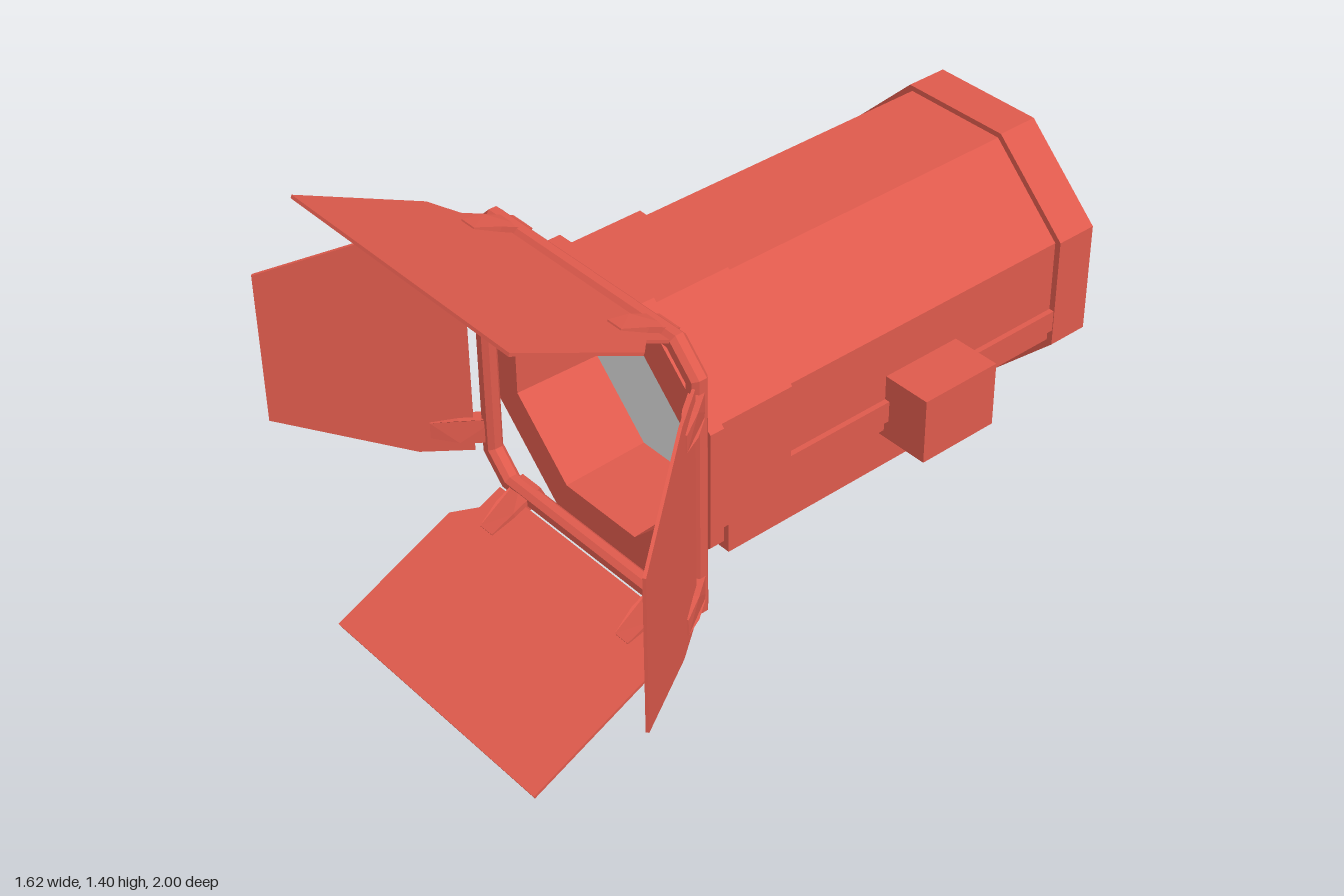
import * as THREE from 'three';

const CY = 0.7025; // height of the lamp axis

export function createModel() {
  const root = new THREE.Group();
  root.name = 'stageLight';
  const red = new THREE.MeshStandardMaterial({ color: 0xde5a4c, flatShading: true });
  red.name = 'red paint';
  const glass = new THREE.MeshStandardMaterial({ color: 0xdedede });
  glass.name = 'pale lens';

  const add = (parent, name, geo, mat = red) => {
    const mesh = new THREE.Mesh(geo, mat);
    mesh.name = name;
    parent.add(mesh);
    return mesh;
  };
  const toPoints = (list) => list.map(([x, y]) => new THREE.Vector2(x, y));
  const box = (name, w, h, d, x, y, z) => {
    add(root, name, new THREE.BoxGeometry(w, h, d)).position.set(x, y, z);
  };
  // octagon outline: half size h, half length e of its straight sides
  const octagon = (h, e, sx = 1) => toPoints([
    [e, -h], [h, -e], [h, e], [e, h], [-e, h], [-h, e], [-h, -e], [-e, -h],
  ].map(([x, y]) => [x * sx, y]));
  const extrude = (points, holes, depth, z, bevel = 0) => {
    const shape = new THREE.Shape(points);
    holes.forEach((p) => shape.holes.push(new THREE.Path(p)));
    return new THREE.ExtrudeGeometry(shape, {
      depth, bevelEnabled: bevel > 0, bevelSize: bevel, bevelThickness: bevel, bevelSegments: 1,
    }).translate(0, 0, z);
  };

  // Housing: eight-sided lathe of [half size, z], running into the lens tunnel
  const profile = [
    [0, -0.88], [0.39, -0.88], [0.39, 0.12], [0.407, 0.12], [0.407, 0.375],
    [0.436, 0.375], [0.436, 0.42], [0.337, 0.42], [0.324, 0.15],
  ].map(([h, z]) => new THREE.Vector2(h / Math.cos(Math.PI / 8), z));
  const housing = new THREE.LatheGeometry(profile, 8, Math.PI / 8);
  housing.rotateX(Math.PI / 2).scale(1.035, 1, 1);
  add(root, 'housing', housing).position.y = CY;
  const lens = new THREE.ShapeGeometry(new THREE.Shape(octagon(0.326, 0.135, 1.035)));
  add(root, 'lens', lens.translate(0, 0, 0.152), glass).position.y = CY;

  // Rear cap with a notch below, a recessed panel and two screw holes
  const capOutline = octagon(0.406, 0.17, 1.04);
  capOutline.push(...toPoints([[-0.165, -0.406], [-0.165, -0.28], [0.165, -0.28], [0.165, -0.406]]));
  const recess = toPoints([[-0.385, -0.1], [0.385, -0.1], [0.385, 0.15], [0.16, 0.37], [-0.16, 0.37], [-0.385, 0.15]]);
  const screwHole = (x) => toPoints([[x - 0.02, -0.19], [x + 0.02, -0.19], [x + 0.02, -0.15], [x - 0.02, -0.15]]);
  add(root, 'rearCap', extrude(capOutline, [], 0.113, -0.983)).position.y = CY;
  add(root, 'rearCapRim', extrude(capOutline, [recess, screwHole(0.34), screwHole(-0.34)], 0.017, -1)).position.y = CY;

  // Ballast box underneath, with rear knobs
  box('ballastBox', 0.36, 0.17, 0.99, 0, 0.255, -0.375);
  for (const s of [-1, 1]) {
    box('rearKnob', 0.045, 0.045, 0.02, s * 0.08, 0.265, -0.875);
    // Side rails and yoke mounts
    box('sideRail', 0.03, 0.065, 0.99, s * 0.405, 0.6125, -0.375);
    box('yokeMount', 0.17, 0.2, 0.26, s * 0.47, 0.62, -0.365);
  }

  // Chamfered frame that carries the barn doors
  const frame = extrude(octagon(0.446, 0.366), [octagon(0.424, 0.354)], 0.024, 0.438, 0.014);
  add(root, 'doorFrame', frame).position.y = CY;

  // Barn doors: outlines are [along hinge, outward], mirrored about the hinge centre
  const mirrored = (half) => toPoints([...half, ...half.map(([x, y]) => [-x, y]).reverse()]);
  const wideDoor = mirrored([[0.37, 0], [0.37, 0.08], [0.435, 0.145], [0.435, 0.575]]);
  const sideDoor = mirrored([[0.367, 0], [0.367, 0.155], [0.24, 0.556]]);
  const clip = mirrored([[0.04, -0.065], [0.038, 0.04], [0.026, 0.12]]);

  for (let k = 0; k < 4; k++) {
    const side = k % 2 === 1;
    const turn = new THREE.Group();
    turn.name = ['topDoor', 'rightDoor', 'bottomDoor', 'leftDoor'][k];
    turn.position.y = CY;
    turn.rotation.z = k * Math.PI / 2;
    root.add(turn);
    const hinge = new THREE.Group();
    hinge.name = 'hinge';
    hinge.position.set(0, side ? 0.468 : 0.45, side ? 0.488 : 0.48);
    hinge.rotation.x = side ? 0.913 : 1.13;
    turn.add(hinge);
    add(hinge, 'doorLeaf', extrude(side ? sideDoor : wideDoor, [], 0.009, -0.0045));
    for (const s of [-1, 1]) {
      const geo = extrude(clip, [], 0.04, -0.02);
      // thin the clip towards its outer end
      const p = geo.attributes.position;
      for (let i = 0; i < p.count; i++) {
        p.setZ(i, p.getZ(i) * (p.getY(i) > 0.1 ? 0.45 : 1));
      }
      add(hinge, 'doorClip', geo).position.x = s * 0.292;
    }
  }
  return root;
}
